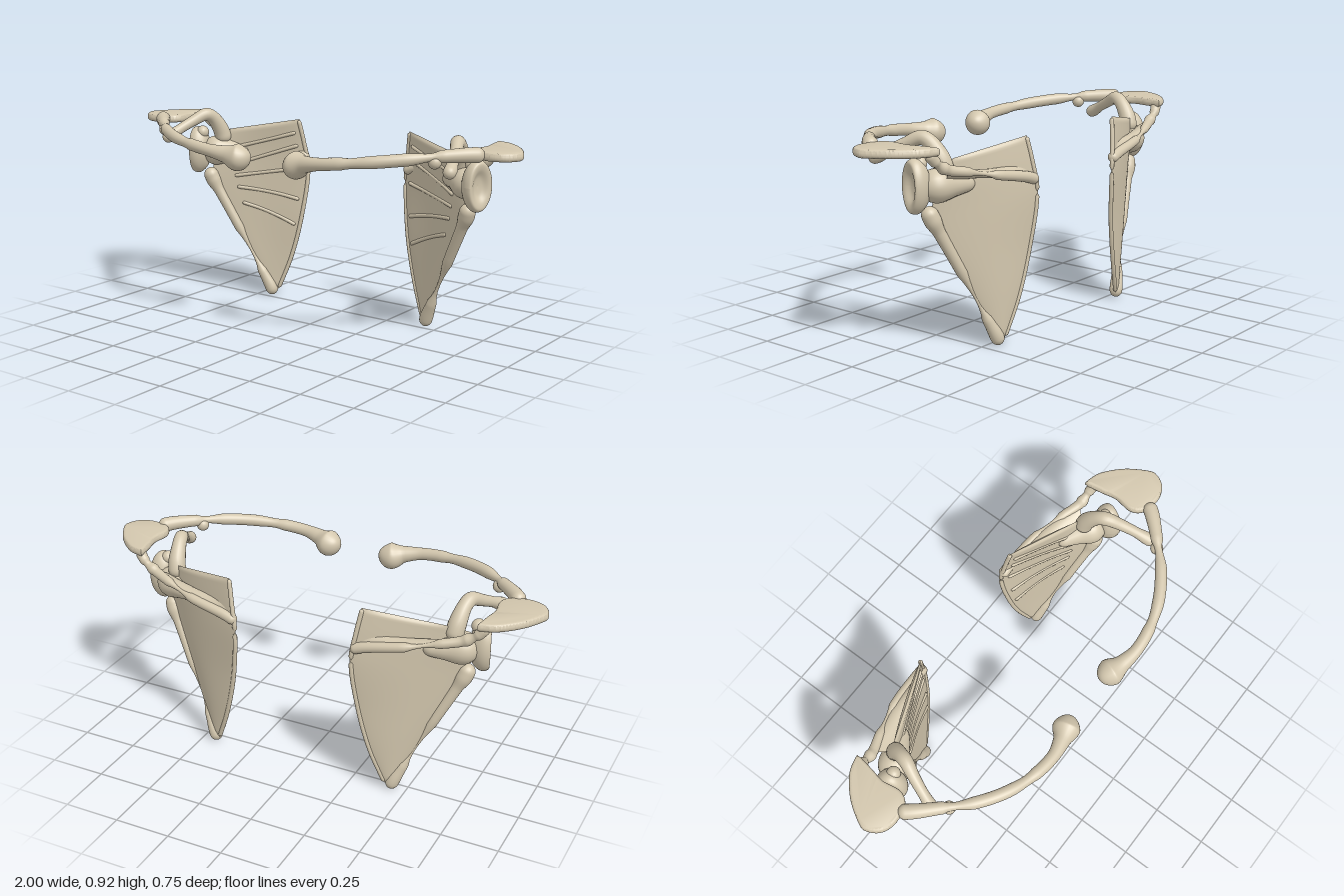
import * as THREE from 'three';
import { toCreasedNormals } from 'three/addons/utils/BufferGeometryUtils.js';

const V = (p) => new THREE.Vector3(...p);
const curve = (pts) => new THREE.CatmullRomCurve3(pts.map(V));

// Smooth surface from closed cross-section loops: fn(angle, t) -> Vector3
function loft(fn, around, along) {
  const pos = [], idx = [];
  for (let i = 0; i <= along; i++) {
    for (let j = 0; j < around; j++) {
      pos.push(...fn((j / around) * Math.PI * 2, i / along).toArray());
      if (i === along) continue;
      const k = (j + 1) % around;
      const a = i * around + j, b = i * around + k, c = a + around, d = b + around;
      idx.push(a, b, c, b, d, c);
    }
  }
  const g = new THREE.BufferGeometry();
  g.setAttribute('position', new THREE.Float32BufferAttribute(pos, 3));
  g.setIndex(idx);
  g.computeVertexNormals();
  return g;
}

// Round bone with rounded ends; rows are [x, y, z, radius]
function bone(rows, around = 20, along = 56) {
  const path = curve(rows.map((r) => r.slice(0, 3)));
  const radius = curve(rows.map((r) => [r[3], 0, 0]));
  const start = path.getPoint(0), end = path.getPoint(1);
  return loft((a, s) => {
    const t = (1 - Math.cos(Math.PI * s)) / 2;
    const p = path.getPoint(t), T = path.getTangent(t);
    const N = new THREE.Vector3(0, 1, 0).cross(T).normalize();
    const B = T.clone().cross(N);
    const r = radius.getPoint(t).x;
    const d = Math.min(1, Math.min(p.distanceTo(start), p.distanceTo(end)) / r);
    const k = r * Math.sqrt(Math.max(1e-6, 1 - (1 - d) ** 2));
    return p.addScaledVector(N, Math.cos(a) * k).addScaledVector(B, Math.sin(a) * k);
  }, around, along);
}

// Middle surface of the shoulder blade: u medial to lateral, v tip to top
const medial = curve([[0.41, 0.03, -0.3], [0.345, 0.2, -0.325], [0.295, 0.4, -0.343],
  [0.268, 0.64, -0.362], [0.285, 0.76, -0.35], [0.305, 0.87, -0.332]]);
const lateral = curve([[0.44, 0.03, -0.285], [0.53, 0.22, -0.242], [0.62, 0.4, -0.2],
  [0.695, 0.57, -0.165], [0.69, 0.7, -0.18], [0.63, 0.81, -0.215]]);
const bladeNormal = new THREE.Vector3(-0.41, 0, 0.91);
const bladeAt = (u, v) => medial.getPoint(v).lerp(lateral.getPoint(v), u)
  .addScaledVector(bladeNormal, -0.014 * Math.sin(Math.PI * u) * Math.sin(Math.PI * v));

function bladeGeometry() {
  return loft((a, v) => {
    const edge = Math.sqrt(Math.min(1, v / 0.03, (1 - v) / 0.03));
    return bladeAt((1 - Math.cos(a)) / 2, v)
      .addScaledVector(bladeNormal, Math.sin(a) * 0.011 * edge);
  }, 40, 60);
}

// Crest of the spine, with a web joining it to the back of the blade
const crestRows = [[0.268, 0.685, -0.355, 0.024], [0.33, 0.705, -0.352, 0.023],
  [0.5, 0.738, -0.335, 0.02], [0.63, 0.765, -0.295, 0.02], [0.72, 0.785, -0.262, 0.022],
  [0.775, 0.82, -0.256, 0.022], [0.81, 0.862, -0.245, 0.025]];
function webGeometry() {
  const crest = curve(crestRows.map((r) => r.slice(0, 3)));
  return loft((a, s) => {
    const t = 0.66 * (1 - s);
    const root = bladeAt(t * 1.4, 0.8 + 0.05 * t);
    const p = root.lerp(crest.getPoint(t), (1 - Math.cos(a)) / 2);
    p.y += Math.sin(a) * 0.018;
    return p;
  }, 20, 24);
}

// Flat plate over the shoulder
function acromionGeometry() {
  const outline = [[0.79, 0.265], [0.85, 0.243], [0.925, 0.175], [0.978, 0.09], [0.983, 0.055],
    [0.955, 0.012], [0.9, -0.006], [0.83, 0.008], [0.802, 0.05], [0.812, 0.13], [0.8, 0.2]];
  const shape = new THREE.Shape();
  shape.moveTo(...outline[0]);
  shape.splineThru([...outline.slice(1), outline[0]].map((p) => new THREE.Vector2(...p)));
  const g = new THREE.ExtrudeGeometry(shape, { depth: 0.01, curveSegments: 48,
    bevelThickness: 0.013, bevelSize: 0.014, bevelSegments: 4 });
  g.rotateX(-Math.PI / 2).translate(0, 0.86, 0);
  return toCreasedNormals(g, 0.8);
}

// Shallow oval cup facing outwards and a little forwards
function socketGeometry() {
  const profile = new THREE.SplineCurve([[0, -0.05], [0.6, -0.042], [0.9, -0.018], [1, 0.008],
    [0.9, 0.032], [0.65, 0.03], [0.35, 0.014], [0, 0.009]].map((p) => new THREE.Vector2(...p)));
  const points = profile.getPoints(32).map((p) => new THREE.Vector2(Math.max(0, p.x), p.y));
  const g = new THREE.LatheGeometry(points, 40);
  g.scale(0.112, 1, 0.068).rotateZ(-Math.PI / 2);
  g.computeVertexNormals();
  return g.rotateY(-0.35).translate(0.755, 0.708, -0.135);
}

// Same part for the other side of the body
function mirrored(geometry) {
  const g = geometry.clone().scale(-1, 1, 1);
  const n = g.attributes.position.count;
  const idx = g.index ? Array.from(g.index.array) : Array.from({ length: n }, (_, i) => i);
  for (let i = 0; i < idx.length; i += 3) [idx[i], idx[i + 1]] = [idx[i + 1], idx[i]];
  g.setIndex(idx);
  return g;
}

export function createModel() {
  const material = new THREE.MeshStandardMaterial({ color: 0xd3c7ae });
  const parts = {
    collarbone: bone([[0.1, 0.803, 0.295, 0.045], [0.155, 0.797, 0.312, 0.059],
      [0.21, 0.808, 0.33, 0.037], [0.29, 0.82, 0.345, 0.027], [0.4, 0.832, 0.334, 0.026],
      [0.52, 0.845, 0.295, 0.026], [0.64, 0.858, 0.222, 0.026], [0.74, 0.868, 0.13, 0.026],
      [0.82, 0.871, 0.05, 0.031], [0.862, 0.868, -0.002, 0.033]], 24, 80),
    collarboneTubercle: new THREE.SphereGeometry(0.028, 20, 14).translate(0.72, 0.845, 0.145),
    blade: bladeGeometry(),
    lateralBorder: bone([[0.428, 0.004, -0.288, 0.026], [0.442, 0.045, -0.282, 0.03],
      [0.48, 0.125, -0.262, 0.023], [0.58, 0.33, -0.217, 0.023], [0.67, 0.51, -0.177, 0.026],
      [0.697, 0.565, -0.165, 0.036], [0.715, 0.62, -0.15, 0.034]]),
    medialBorder: bone([0.01, 0.2, 0.4, 0.6, 0.8, 0.99].map(
      (v) => [...bladeAt(0.01, v).toArray(), 0.01]), 10, 40),
    neck: bone([[0.54, 0.7, -0.25, 0.025], [0.62, 0.705, -0.215, 0.05],
      [0.685, 0.705, -0.18, 0.07], [0.75, 0.705, -0.14, 0.06]]),
    socket: socketGeometry(),
    socketTop: new THREE.SphereGeometry(0.03, 18, 12).translate(0.735, 0.795, -0.135),
    coracoid: bone([[0.65, 0.74, -0.2, 0.04], [0.66, 0.81, -0.18, 0.038],
      [0.672, 0.872, -0.135, 0.031], [0.683, 0.888, -0.1, 0.03], [0.71, 0.862, -0.04, 0.025],
      [0.735, 0.83, 0.025, 0.023], [0.752, 0.803, 0.075, 0.028], [0.76, 0.79, 0.112, 0.027]]),
    spineCrest: bone(crestRows),
    spineWeb: webGeometry(),
    acromion: acromionGeometry(),
  };
  // Ridges fanning out over the front of the blade: [medial v, lateral v]
  [[0.36, 0.46], [0.47, 0.54], [0.6, 0.6], [0.78, 0.68], [0.89, 0.82]].forEach(([v0, v1], i) => {
    const rows = [0, 0.33, 0.67, 1].map((s) => [
      ...bladeAt(0.08 + 0.7 * s, v0 + (v1 - v0) * s).addScaledVector(bladeNormal, 0.007).toArray(),
      0.009]);
    parts['bladeRidge' + (i + 1)] = bone(rows, 10, 20);
  });

  const model = new THREE.Group();
  model.name = 'shoulderGirdle';
  for (const side of ['left', 'right']) {
    const group = new THREE.Group();
    group.name = side + 'Shoulder';
    for (const [name, geometry] of Object.entries(parts)) {
      const mesh = new THREE.Mesh(side === 'left' ? geometry : mirrored(geometry), material);
      mesh.name = name;
      group.add(mesh);
    }
    model.add(group);
  }
  return model;
}
